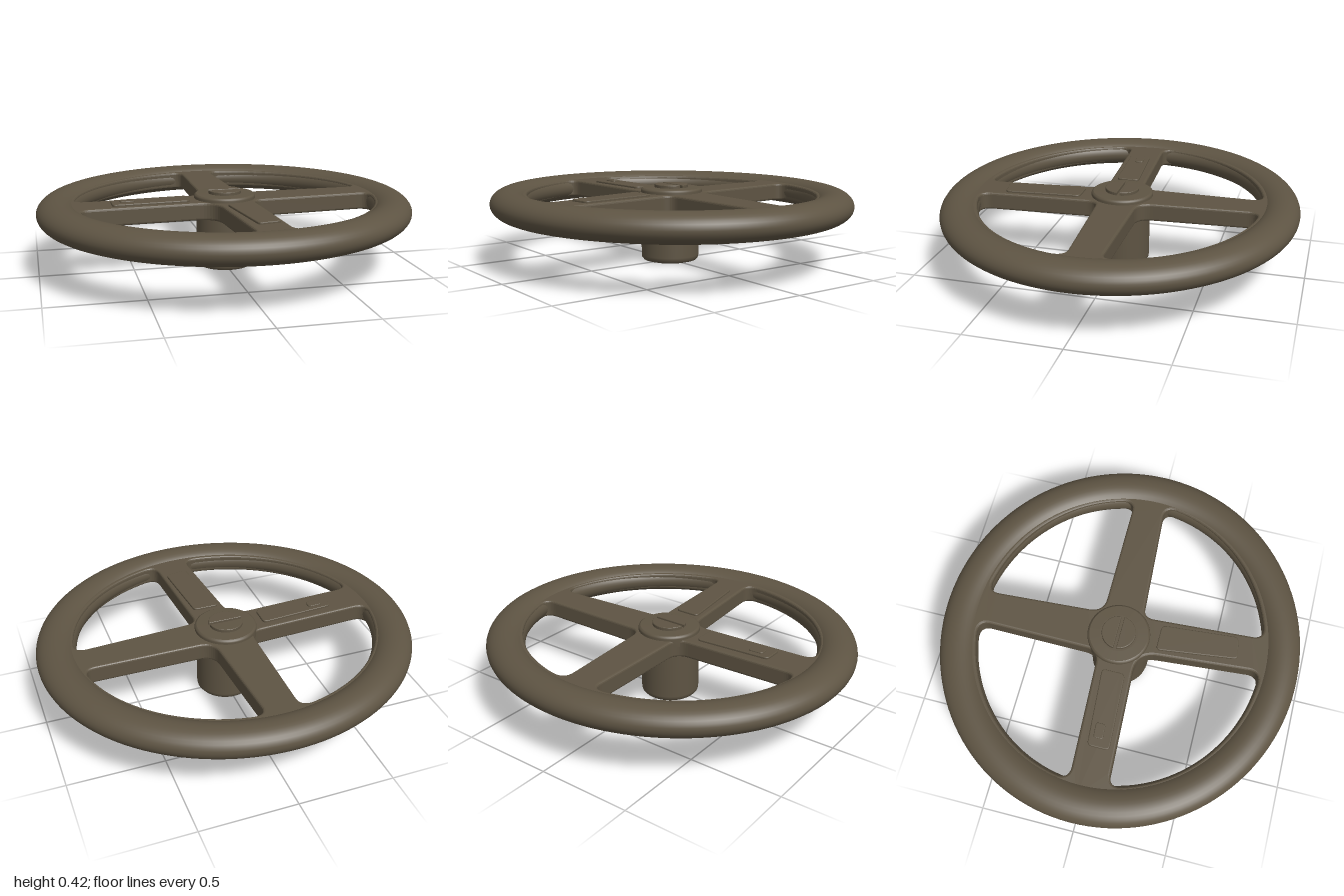
import * as THREE from 'three';

const bronze = new THREE.MeshStandardMaterial({ color: 0x5e5443 });
bronze.name = 'dark bronze';

const V = (x, z) => new THREE.Vector2(x, z);

export function createModel() {
  const model = new THREE.Group();
  model.name = 'handwheel';

  const add = (name, geometry, y = 0, z = 0) => {
    const mesh = new THREE.Mesh(geometry, bronze);
    mesh.name = name;
    mesh.position.set(0, y, z);
    model.add(mesh);
    return mesh;
  };

  // Extrudes a plan drawn in x and z downwards from y = 0, with softened edges
  const slab = (shape, depth, bevel) => {
    const geometry = new THREE.ExtrudeGeometry(shape, {
      depth: depth - 2 * bevel, bevelEnabled: true, bevelThickness: bevel,
      bevelSize: bevel, bevelOffset: -bevel, bevelSegments: 3, curveSegments: 10,
    });
    geometry.translate(0, 0, bevel);
    return geometry.rotateX(Math.PI / 2);
  };

  // Closed outline with every corner rounded
  const roundedShape = (points, r) => {
    const shape = new THREE.Shape();
    points.forEach((p, i) => {
      const toward = (q) => p.clone().add(q.clone().sub(p).setLength(r));
      const a = toward(points.at(i - 1));
      const b = toward(points[(i + 1) % points.length]);
      if (i === 0) shape.moveTo(a.x, a.y);
      else shape.lineTo(a.x, a.y);
      shape.quadraticCurveTo(p.x, p.y, b.x, b.y);
    });
    shape.closePath();
    return shape;
  };

  // Rim: slightly oval ring with a flattened round section
  const rim = new THREE.TorusGeometry(0.895, 0.105, 32, 128);
  rim.rotateX(Math.PI / 2).scale(1, 0.075 / 0.105, 0.95);
  add('rim', rim, 0.325);

  // Spokes: an oval plate pierced by four windows
  const RX = 0.805, RZ = 0.755;
  const windowPath = (corner, endA, endB, inner) => {
    const angle = (p) => Math.atan2(p.y / RZ, p.x / RX);
    const onRim = (t) => V(RX * Math.cos(t), RZ * Math.sin(t));
    const along = (p, q, d) => p.clone().add(q.clone().sub(p).setLength(d));
    const a = angle(endA);
    let span = angle(endB) - a;
    if (span > Math.PI) span -= 2 * Math.PI;
    if (span < -Math.PI) span += 2 * Math.PI;
    const r = 0.065, step = Math.sign(span) * 0.085;
    const path = new THREE.Path();
    const start = along(corner, endA, inner);
    const outA = along(endA, corner, r);
    const outB = along(endB, corner, r);
    const stop = along(corner, endB, inner);
    const first = onRim(a + step);
    path.moveTo(start.x, start.y);
    path.lineTo(outA.x, outA.y);
    path.quadraticCurveTo(endA.x, endA.y, first.x, first.y);
    for (let i = 1; i <= 24; i++) {
      const p = onRim(a + step + (span - 2 * step) * i / 24);
      path.lineTo(p.x, p.y);
    }
    path.quadraticCurveTo(endB.x, endB.y, outB.x, outB.y);
    path.lineTo(stop.x, stop.y);
    path.quadraticCurveTo(corner.x, corner.y, start.x, start.y);
    return path;
  };
  const plate = new THREE.Shape();
  plate.absellipse(0, 0, 0.885, 0.835, 0, Math.PI * 2, false, 0);
  plate.holes.push(
    windowPath(V(0.11, -0.12), V(0.07, -0.752), V(0.795, -0.12), 0.08),
    windowPath(V(0.13, 0.092), V(0.8, 0.05), V(0.17, 0.738), 0.06),
    windowPath(V(-0.07, 0.105), V(-0.015, 0.755), V(-0.79, 0.14), 0.11),
    windowPath(V(-0.11, -0.09), V(-0.8, -0.058), V(-0.105, -0.748), 0.07),
  );
  add('spokes', slab(plate, 0.095, 0.012), 0.375);

  // Raised panels on the left and front spokes
  const panels = {
    sidePanel: [V(-0.615, -0.015), V(-0.205, -0.045), V(-0.205, 0.078), V(-0.615, 0.1)],
    frontPanel: [V(-0.035, 0.2), V(0.105, 0.2), V(0.14, 0.605), V(0.02, 0.625)],
  };
  for (const [name, points] of Object.entries(panels)) {
    add(name, slab(roundedShape(points, 0.025), 0.02, 0.005), 0.386);
  }
  const nub = roundedShape(
    [V(-0.57, 0.005), V(-0.49, 0), V(-0.49, 0.05), V(-0.57, 0.055)], 0.015);
  add('panelNub', slab(nub, 0.014, 0.004), 0.392);

  // Hub: turned barrel with a blind bore below and a collar on top
  const lathe = (pairs) => new THREE.LatheGeometry(pairs.map(([x, y]) => V(x, y)), 64);
  add('hubBarrel', lathe([
    [0, 0.24], [0.105, 0.24], [0.105, 0.24], [0.107, 0.004], [0.107, 0.004],
    [0.113, 0], [0.113, 0], [0.143, 0.008], [0.153, 0.02],
    [0.155, 0.035], [0.155, 0.3],
  ]));
  add('hubCollar', lathe([
    [0.165, 0.34], [0.165, 0.385], [0.162, 0.393], [0.154, 0.398],
    [0.154, 0.398], [0.1, 0.4], [0.1, 0.4], [0, 0.4],
  ]), 0, -0.008);

  // Slotted screw head: two half discs with a gap between them
  for (const [name, side] of [['screwHeadFront', 1], ['screwHeadBack', -1]]) {
    const half = new THREE.Shape();
    const t = Math.asin(0.008 / 0.09);
    const from = side > 0 ? t : Math.PI + t;
    half.absarc(0, 0, 0.09, from, from + Math.PI - 2 * t, false);
    half.closePath();
    add(name, slab(half, 0.03, 0.004), 0.417, -0.008);
  }

  return model;
}
